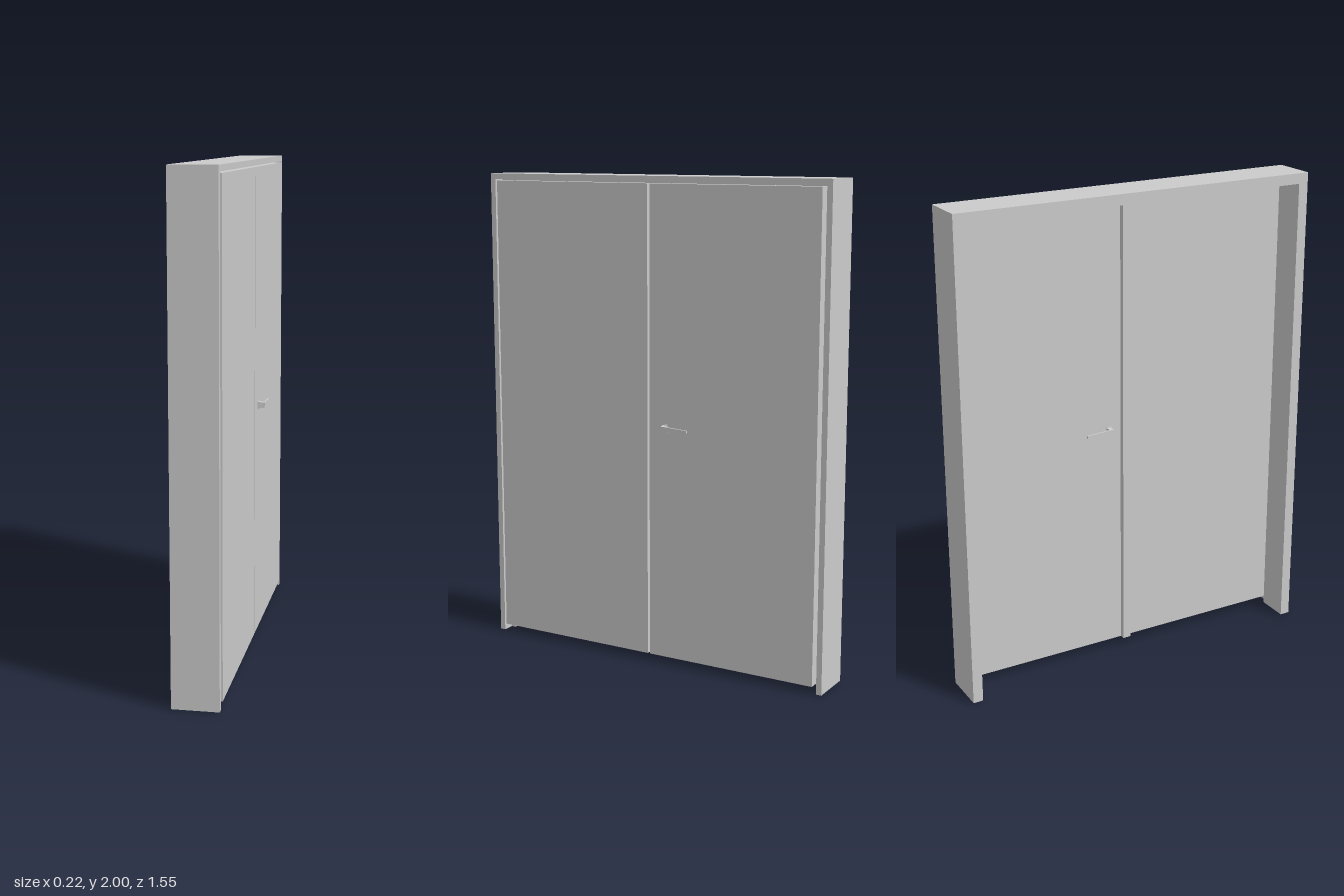
import * as THREE from 'three';

const material = new THREE.MeshStandardMaterial({ color: 0xcccccc, flatShading: true });

function add(parent, name, geometry) {
  const mesh = new THREE.Mesh(geometry, material);
  mesh.name = name;
  parent.add(mesh);
  return mesh;
}

// Box given by its limits on each axis
function block([x0, x1], [y0, y1], [z0, z1]) {
  return new THREE.BoxGeometry(x1 - x0, y1 - y0, z1 - z0)
    .translate((x0 + x1) / 2, (y0 + y1) / 2, (z0 + z1) / 2);
}

// Outline of [-z, y] points, extruded along x from x0 to x1
function slab(points, x0, x1) {
  const shape = new THREE.Shape(points.map(([u, y]) => new THREE.Vector2(u, y)));
  return new THREE.ExtrudeGeometry(shape, { depth: x1 - x0, bevelEnabled: false })
    .rotateY(Math.PI / 2).translate(x0, 0, 0);
}

// Two jambs and a head in one U-shaped outline
function portal(inner, head) {
  const w = 0.777;
  return [[-w, 0], [-inner, 0], [-inner, head], [inner, head], [inner, 0], [w, 0], [w, 2], [-w, 2]];
}

// Lever handle standing on x = 0, pointing along -z
function makeHandle(name) {
  const handle = new THREE.Group();
  handle.name = name;
  add(handle, 'rosette', block([0, 0.004], [-0.02, 0.014], [-0.082, -0.06]));
  // Neck narrows away from the door
  const neck = block([0.002, 0.03], [-0.016, 0.012], [-0.083, -0.062]);
  const p = neck.attributes.position;
  for (let i = 0; i < p.count; i++) {
    if (p.getX(i) > 0.02) {
      p.setY(i, p.getY(i) * 0.75);
      p.setZ(i, -0.07 + (p.getZ(i) + 0.07) * 0.7);
    }
  }
  neck.computeVertexNormals();
  add(handle, 'neck', neck);
  add(handle, 'lever', slab(
    [[0.064, -0.012], [0.08, -0.012], [0.185, -0.006], [0.185, 0.004], [0.08, 0.01], [0.064, 0.01]],
    0.023, 0.03));
  return handle;
}

export function createModel() {
  const model = new THREE.Group();
  model.name = 'doubleDoor';

  // Frame: deep lining behind, wider rebate in front
  const frame = new THREE.Group();
  frame.name = 'frame';
  model.add(frame);
  add(frame, 'lining', slab(portal(0.735, 1.957), -0.11, 0.026));
  add(frame, 'rebate', slab(portal(0.754, 1.976), 0.026, 0.075));

  // Leaves and the strip covering the gap between them
  const back = 0.029, front = 0.08;
  add(model, 'fixedLeaf', block([back, front], [0.03, 1.971], [0.012, 0.742]));
  add(model, 'activeLeaf', block([back, front], [0.03, 1.971], [-0.738, 0.002]));
  add(model, 'coverStrip', block([0.007, back], [0.03, 1.957], [-0.016, 0.02]));

  // Handles on both faces of the active leaf
  const outer = makeHandle('outerHandle');
  outer.position.set(front, 1, 0);
  const inner = makeHandle('innerHandle');
  inner.position.set(back, 1, 0);
  inner.scale.x = -1;
  model.add(outer, inner);

  return model;
}
